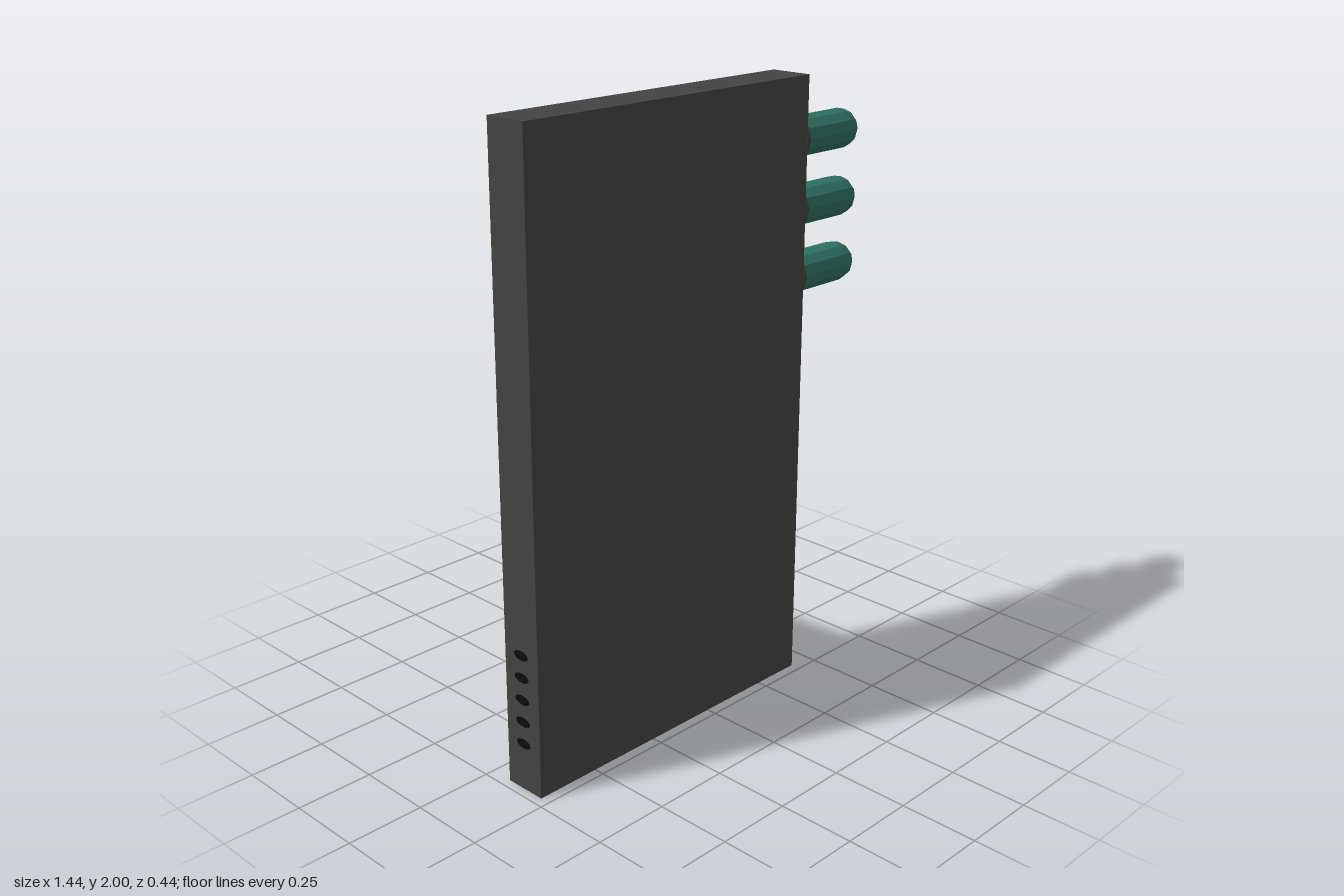
import * as THREE from 'three';

const mat = (name, color, extra = {}) => {
  const m = new THREE.MeshStandardMaterial({ color, ...extra });
  m.name = name;
  return m;
};

export function createModel() {
  const root = new THREE.Group();
  root.name = 'wallTerminal';
  const dark = mat('charcoal', 0x434343);
  const grey = mat('midGrey', 0x7e7e7e);
  const pale = mat('screenGrey', 0xc2c2c2);
  const black = mat('black', 0x0d0d0d);
  const yellow = mat('signYellow', 0xbfb414);
  const teal = mat('teal', 0x2f7064, { flatShading: true });

  const add = (name, geo, material, parent = root) => {
    const mesh = new THREE.Mesh(geo, material);
    mesh.name = name;
    parent.add(mesh);
    return mesh;
  };
  // Box given by its lower and upper limits on each axis
  const box = (name, material, [x0, x1], [y0, y1], [z0, z1], parent = root) => {
    const m = add(name, new THREE.BoxGeometry(x1 - x0, y1 - y0, z1 - z0), material, parent);
    m.position.set((x0 + x1) / 2, (y0 + y1) / 2, (z0 + z1) / 2);
    return m;
  };
  const rect = (Type, x0, x1, y0, y1) => new Type([
    [x0, y0], [x1, y0], [x1, y1], [x0, y1],
  ].map(([x, y]) => new THREE.Vector2(x, y)));
  // Rectangular ring, outer and inner limits, between z0 and z1
  const ring = (name, material, outer, inner, z0, z1) => {
    const shape = rect(THREE.Shape, ...outer);
    shape.holes.push(rect(THREE.Path, ...inner));
    const geo = new THREE.ExtrudeGeometry(shape, { depth: z1 - z0, bevelEnabled: false });
    return add(name, geo.translate(0, 0, z0), material);
  };

  const BACK = 0.076; // face of the slab that carries the fittings

  // Slab
  box('body', dark, [-0.72, 0.42], [0, 2], [BACK, 0.217]);

  // Screen set into its frame
  ring('screenFrame', grey, [-0.682, 0.386, 1.11, 1.967], [-0.61, 0.316, 1.19, 1.89], 0.045, BACK);
  box('screen', pale, [-0.61, 0.316], [1.19, 1.89], [0.07, BACK]);

  // Three rounded rods with collars on the left side
  const rodProfile = [[0, 0], [0.065, 0], [0.065, 0.225], [0.058, 0.258], [0.035, 0.288], [0, 0.3]]
    .map(([r, h]) => new THREE.Vector2(r, h));
  for (const y of [1.8, 1.583, 1.367]) {
    const rod = new THREE.Group();
    rod.name = 'sideRod';
    add('rod', new THREE.LatheGeometry(rodProfile, 12), teal, rod);
    add('collar', new THREE.CylinderGeometry(0.071, 0.071, 0.016, 12), dark, rod).position.y = 0.008;
    rod.position.set(0.42, y, 0.148);
    rod.rotation.z = -Math.PI / 2;
    root.add(rod);
  }

  // Yellow-edged sign with a blotchy panel
  ring('signBorder', yellow, [0.061, 0.353, 0.545, 0.788], [0.098, 0.315, 0.58, 0.75], 0.07, BACK);
  box('signPanel', grey, [0.098, 0.315], [0.58, 0.75], [0.072, BACK]);
  const blotches = [
    [0.1, 0.16, 0.69, 0.748], [0.12, 0.16, 0.64, 0.69], [0.16, 0.19, 0.655, 0.7],
    [0.17, 0.225, 0.61, 0.635], [0.1, 0.15, 0.582, 0.61], [0.285, 0.313, 0.59, 0.615],
    [0.265, 0.31, 0.7, 0.73], [0.225, 0.255, 0.63, 0.66], [0.26, 0.28, 0.68, 0.705],
  ];
  for (const [x0, x1, y0, y1] of blotches) {
    box('signBlotch', black, [x0, x1], [y0, y1], [0.0705, 0.073]);
  }

  // Wedge-shaped chute with a dark mouth
  const wedge = new THREE.Shape([[BACK, 0.09], [BACK, 0.5], [-0.217, 0.447]]
    .map(([z, y]) => new THREE.Vector2(z, y)));
  const wedgeGeo = new THREE.ExtrudeGeometry(wedge, { depth: 0.279, bevelEnabled: false });
  wedgeGeo.rotateY(-Math.PI / 2).translate(0.342, 0, 0);
  add('chute', wedgeGeo, grey);
  const mouth = add('chuteMouth', new THREE.BoxGeometry(0.213, 0.004, 0.245), black);
  mouth.position.set(0.204, 0.4945, -0.071);
  mouth.rotation.x = -Math.atan2(0.053, 0.293);
  mouth.position.y = 0.447 + (0.053 / 0.293) * (0.217 - 0.071) + 0.001;

  // Keypad on a round-cornered plate
  const w = 0.185, h = 0.195, r = 0.025;
  const plate = new THREE.Shape();
  plate.absarc(w - r, h - r, r, 0, Math.PI / 2);
  plate.absarc(r - w, h - r, r, Math.PI / 2, Math.PI);
  plate.absarc(r - w, r - h, r, Math.PI, Math.PI * 1.5);
  plate.absarc(w - r, r - h, r, Math.PI * 1.5, Math.PI * 2);
  const plateGeo = new THREE.ExtrudeGeometry(plate, { depth: BACK - 0.045, bevelEnabled: false, curveSegments: 4 });
  add('keypadPlate', plateGeo, grey).position.set(-0.505, 0.5, 0.045);
  box('keypadHousing', dark, [-0.648, -0.362], [0.32, 0.682], [0.014, 0.05]);
  box('keypadPanel', grey, [-0.623, -0.387], [0.36, 0.645], [0.012, 0.016]);
  for (let row = 0; row < 4; row++) {
    for (let col = 0; col < 3; col++) {
      const key = add('key', new THREE.CylinderGeometry(0.017, 0.017, 0.006, 8), black);
      key.rotation.x = Math.PI / 2;
      key.position.set(-0.505 + (col - 1) * 0.072, 0.502 + (row - 1.5) * 0.077, 0.012);
    }
  }

  // Vent holes low on the right side
  for (let i = 0; i < 5; i++) {
    const vent = add('vent', new THREE.CylinderGeometry(0.02, 0.02, 0.004, 10), black);
    vent.rotation.z = Math.PI / 2;
    vent.scale.set(0.75, 1, 1.5);
    vent.position.set(-0.72, 0.155 + i * 0.073, 0.146);
  }

  return root;
}
